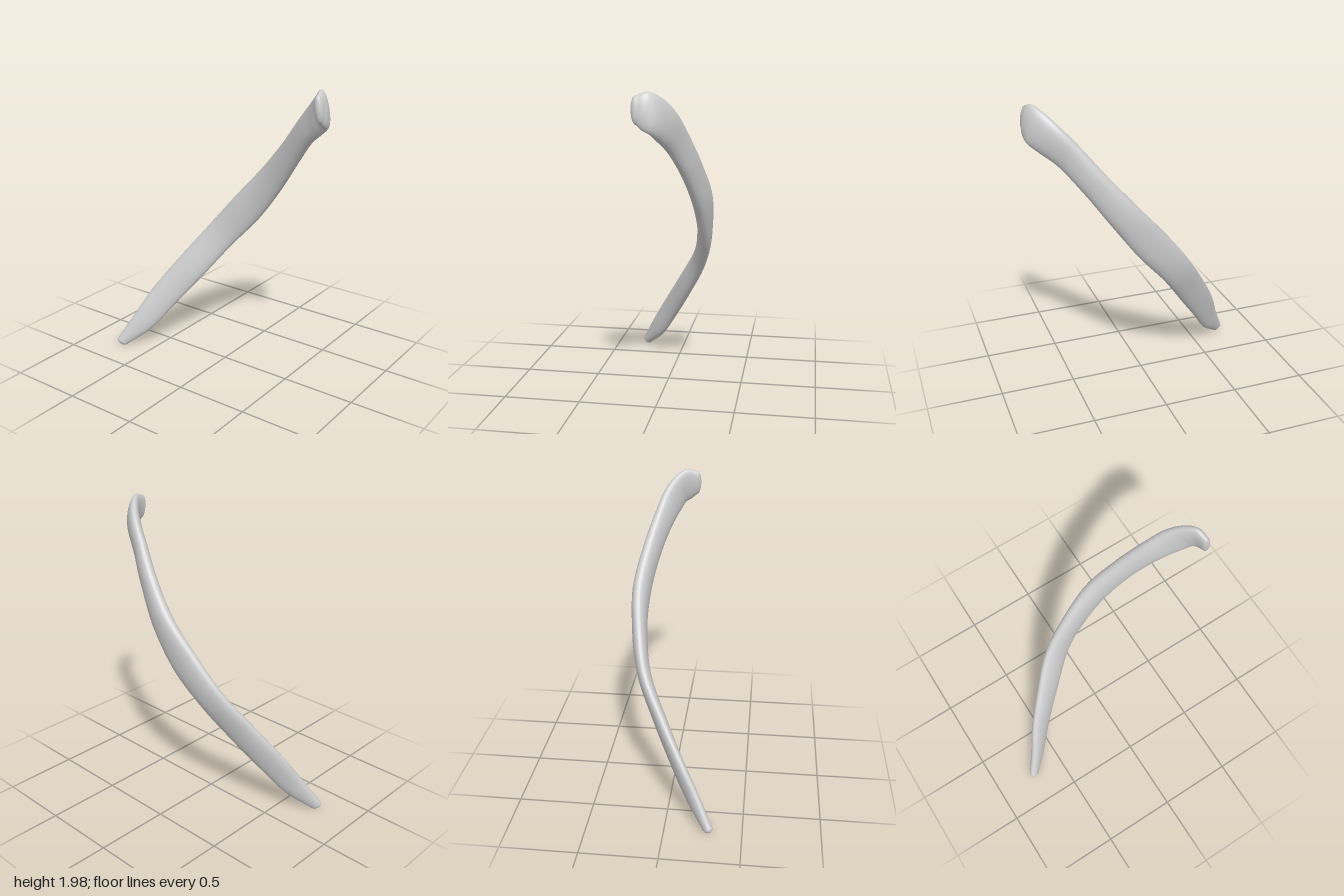
import * as THREE from 'three';

// Stations along the rib: upper edge xyz, lower edge xyz, half thickness
const STATIONS = [
  [-0.745, 0.065, 0.295, -0.685, 0.02, 0.265, 0.03],
  [-0.66, 0.24, 0.205, -0.55, 0.14, 0.145, 0.036],
  [-0.58, 0.42, 0.10, -0.43, 0.31, 0.04, 0.039],
  [-0.44, 0.65, -0.04, -0.27, 0.53, -0.08, 0.043],
  [-0.27, 0.90, -0.18, -0.09, 0.78, -0.20, 0.045],
  [-0.08, 1.14, -0.24, 0.10, 1.00, -0.25, 0.05],
  [0.11, 1.355, -0.27, 0.27, 1.23, -0.235, 0.055],
  [0.30, 1.57, -0.235, 0.44, 1.47, -0.17, 0.05],
  [0.45, 1.755, -0.18, 0.57, 1.63, -0.10, 0.046],
  [0.56, 1.88, -0.13, 0.67, 1.71, -0.05, 0.045],
  [0.64, 1.96, -0.065, 0.725, 1.755, -0.015, 0.04],
  [0.69, 1.995, 0.0, 0.735, 1.78, 0.03, 0.034],
  [0.71, 1.975, 0.07, 0.73, 1.81, 0.065, 0.028],
];
const SIDES = 32, STEPS = 96, CAP_STEPS = 6, CAP_LENGTH = 0.028;

function ribGeometry() {
  const last = STATIONS.length - 1;
  const spline = (o) => new THREE.CatmullRomCurve3(
    STATIONS.map((s) => new THREE.Vector3(s[o], s[o + 1], s[o + 2])), false, 'centripetal');
  const upper = spline(0), lower = spline(3);
  const centre = (t) => upper.getPoint(t).add(lower.getPoint(t)).multiplyScalar(0.5);
  const thickness = (t) => {
    const i = Math.min(Math.floor(t * last), last - 1);
    return THREE.MathUtils.lerp(STATIONS[i][6], STATIONS[i + 1][6],
      THREE.MathUtils.smoothstep(t * last - i, 0, 1));
  };

  const positions = [], index = [];
  let rings = 0;
  // One rounded, flattened cross-section, optionally shrunk and pushed outward for a cap
  const addRing = (t, scale, push) => {
    const c = centre(t);
    const dir = centre(Math.min(1, t + 0.01)).sub(centre(Math.max(0, t - 0.01))).normalize();
    const wide = upper.getPoint(t).sub(lower.getPoint(t)).multiplyScalar(0.5);
    const thick = dir.clone().cross(wide).normalize().multiplyScalar(thickness(t));
    c.addScaledVector(dir, push);
    for (let j = 0; j < SIDES; j++) {
      const a = (j / SIDES) * Math.PI * 2;
      const round = (v) => Math.sign(v) * Math.pow(Math.abs(v), 0.92) * scale;
      const p = c.clone().addScaledVector(wide, round(Math.cos(a))).addScaledVector(thick, round(Math.sin(a)));
      positions.push(p.x, p.y, p.z);
    }
    rings++;
  };
  const capRing = (t, k, sign) => {
    const a = (k / CAP_STEPS) * Math.PI / 2;
    addRing(t, Math.max(Math.cos(a), 0.01), sign * CAP_LENGTH * Math.sin(a));
  };

  // Rounded tip, shaft, rounded head
  for (let k = CAP_STEPS; k > 0; k--) capRing(0, k, -1);
  for (let i = 0; i <= STEPS; i++) addRing(i / STEPS, 1, 0);
  for (let k = 1; k <= CAP_STEPS; k++) capRing(1, k, 1);

  for (let i = 0; i < rings - 1; i++) {
    for (let j = 0; j < SIDES; j++) {
      const k = (j + 1) % SIDES;
      const a = i * SIDES + j, b = i * SIDES + k;
      index.push(a, b, a + SIDES, b, b + SIDES, a + SIDES);
    }
  }
  // Close the two tiny end rings
  const end = (rings - 1) * SIDES;
  for (let j = 1; j < SIDES - 1; j++) {
    index.push(0, j + 1, j, end, end + j, end + j + 1);
  }

  const geometry = new THREE.BufferGeometry();
  geometry.setAttribute('position', new THREE.Float32BufferAttribute(positions, 3));
  geometry.setIndex(index);
  geometry.computeVertexNormals();
  return geometry;
}

export function createModel() {
  const bone = new THREE.MeshStandardMaterial({ color: 0xcccccc });
  bone.name = 'bone grey';
  const rib = new THREE.Mesh(ribGeometry(), bone);
  rib.name = 'ribBone';
  const group = new THREE.Group();
  group.name = 'rib';
  group.add(rib);
  return group;
}
